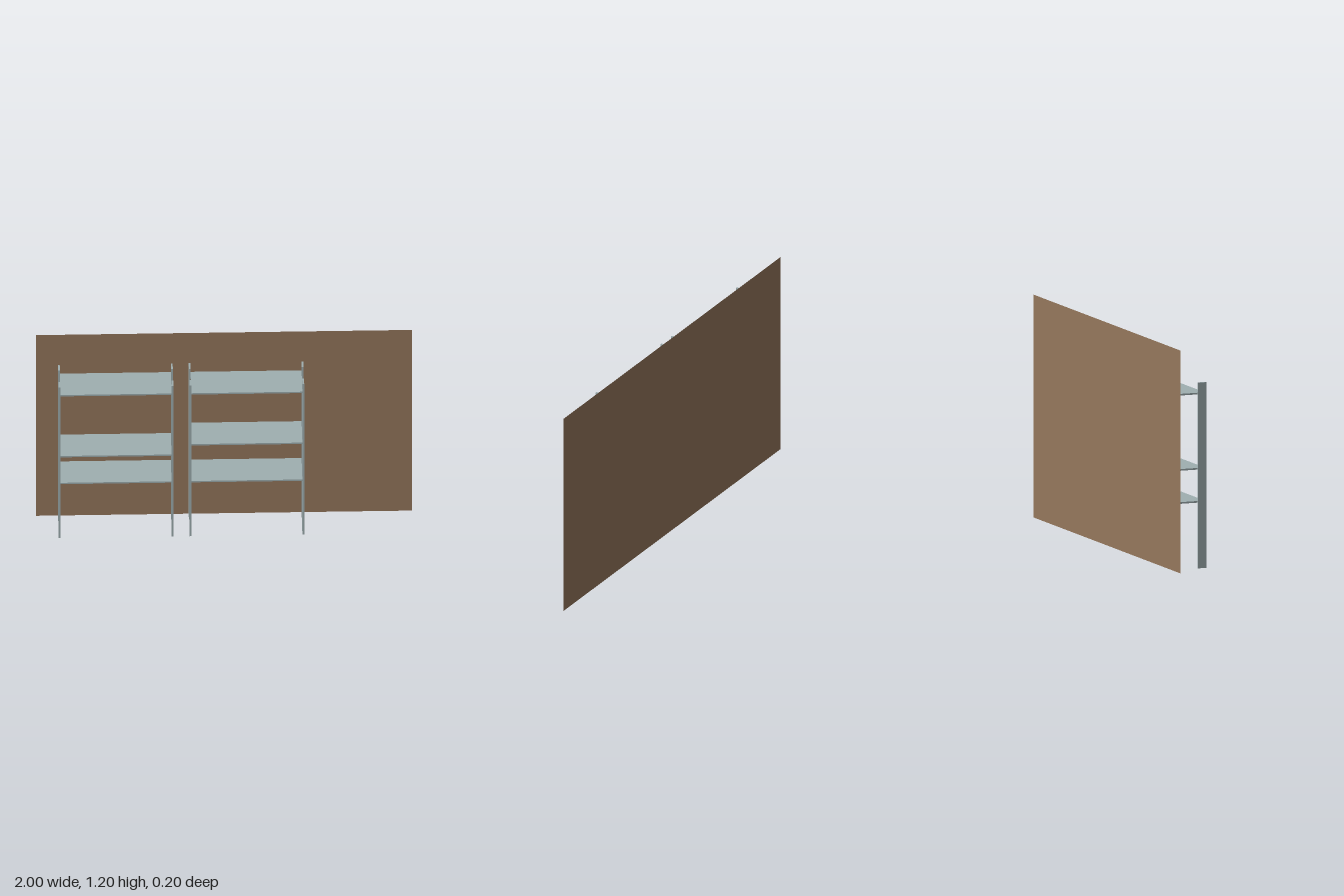
import * as THREE from 'three';

const steel = new THREE.MeshStandardMaterial({ color: 0x9fafb1 });
steel.name = 'greySteel';
const wood = new THREE.MeshStandardMaterial({ color: 0x96785d, side: THREE.DoubleSide });
wood.name = 'brownWall';

function box(name, w, h, d, x, y, z) {
  const mesh = new THREE.Mesh(new THREE.BoxGeometry(w, h, d), steel);
  mesh.name = name;
  mesh.position.set(x, y, z);
  return mesh;
}

// One rack: four upright posts carrying flat shelves
function createRack(name, x, shelfHeights) {
  const rack = new THREE.Group();
  rack.name = name;
  rack.position.x = x;
  for (const sx of [-1, 1]) {
    rack.add(box('frontPost', 0.01, 1, 0.05, sx * 0.3, 0.5, 0.075));
    rack.add(box('backPost', 0.01, 1, 0.049, sx * 0.3, 0.5, -0.0745));
  }
  for (const y of shelfHeights) {
    rack.add(box('shelf', 0.59, 0.009, 0.19, 0, y, -0.002));
  }
  return rack;
}

export function createModel() {
  const model = new THREE.Group();
  model.name = 'wallShelving';

  // Flat wall behind the racks
  const wall = new THREE.Mesh(new THREE.PlaneGeometry(2, 1.2), wood);
  wall.name = 'wall';
  wall.position.set(0, 0.6, -0.1);
  model.add(wall);

  model.add(createRack('rightRack', -0.578, [0.357, 0.535, 0.94]));
  model.add(createRack('leftRack', 0.117, [0.357, 0.602, 0.94]));
  return model;
}
